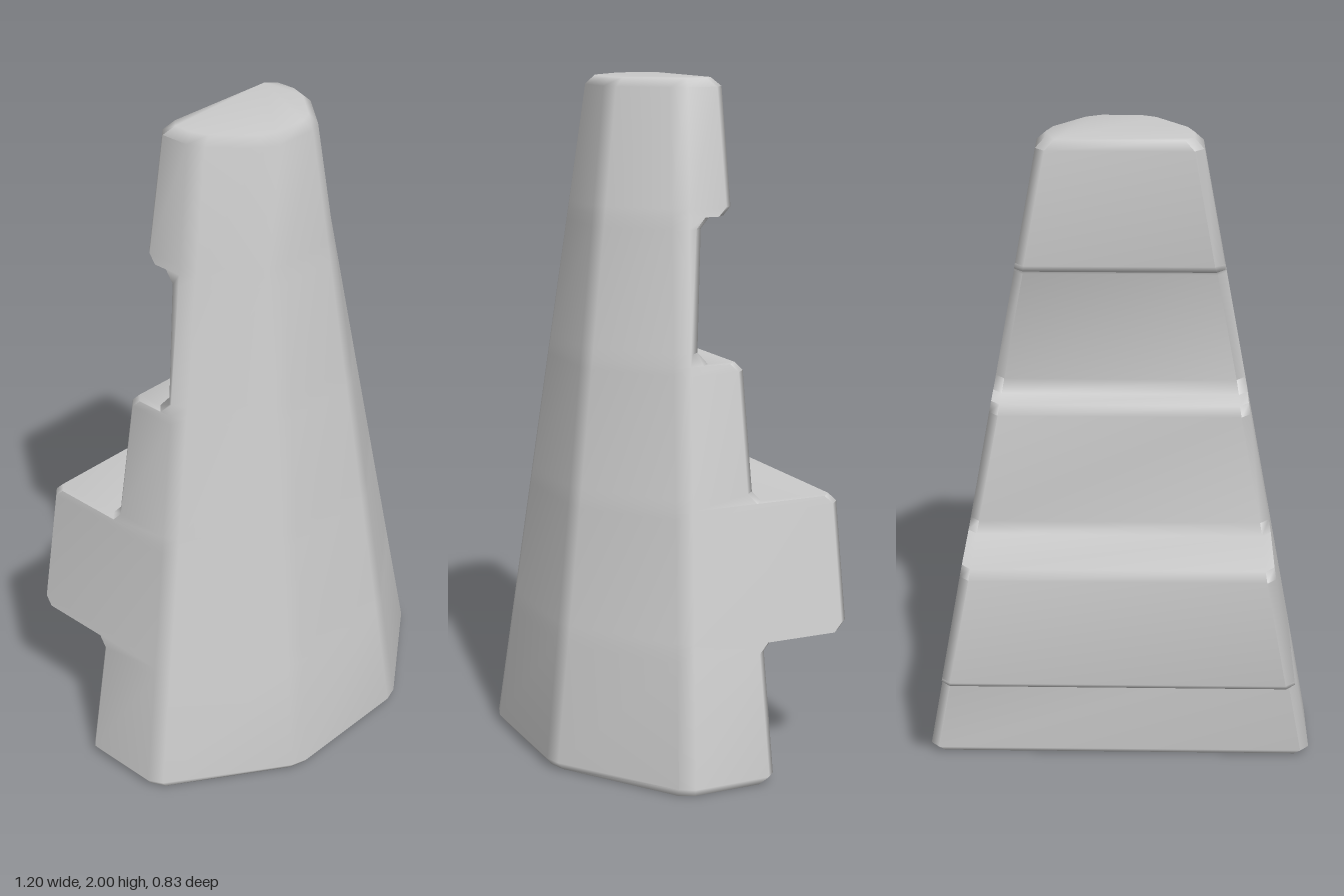
import * as THREE from 'three';

const BEVEL = 0.027;

// Back outline from bottom to top: [height, back z, inset of the whole section]
const LEVELS = [
  [0, -0.14, 0.022], [0.025, -0.14, 0],
  [0.375, -0.14, 0], [0.405, -0.17, 0],                        // under the block
  [0.405, -0.39, 0], [0.43, -0.415, 0],
  [0.775, -0.415, 0], [0.8, -0.39, 0],
  [0.8, -0.167, 0], [0.83, -0.14, 0],                          // above the block
  [1.175, -0.14, 0], [1.2, -0.115, 0],
  [1.2, -0.03, 0], [1.235, 0, 0],                              // notch
  [1.58, -0.04, 0], [1.613, -0.072, 0],
  [1.613, -0.115, 0], [1.638, -0.14, 0],
  [1.975, -0.14, 0], [2, -0.14, 0.022],
];

// Horizontal section: a tapering half octagon with every corner cut
function section([y, back, inset]) {
  const t = y / 2;
  const at = (a, b) => THREE.MathUtils.lerp(a, b, t);
  const w = at(0.603, 0.23) - inset;
  const zb = back + inset;
  const corners = [
    new THREE.Vector3(w, y, zb),
    new THREE.Vector3(w, y, at(0.15, 0.005) - inset * 0.3),
    new THREE.Vector3(at(0.226, 0.092) - inset * 0.4, y, at(0.418, 0.164) - inset),
  ];
  const path = [new THREE.Vector3(0, y, zb), ...corners, new THREE.Vector3(0, y, corners[2].z)];
  const half = [];
  for (let i = 1; i <= 3; i++) {
    for (const next of [path[i - 1], path[i + 1]]) {
      const dir = next.clone().sub(path[i]).normalize();
      half.push(path[i].clone().addScaledVector(dir, BEVEL));
    }
  }
  const mirrored = half.map((p) => new THREE.Vector3(-p.x, p.y, p.z)).reverse();
  return [...half, ...mirrored];
}

// Area-weighted normals: broad faces stay flat and the bevels blend between them
function softBevelGeometry(triangles) {
  const key = (p) => p.toArray().map((v) => Math.round(v * 1e4)).join();
  const around = new Map();
  const faces = [];
  for (const tri of triangles) {
    const n = tri[1].clone().sub(tri[0]).cross(tri[2].clone().sub(tri[0]));
    if (n.length() < 1e-8) continue;
    const face = { tri, n, unit: n.clone().normalize() };
    faces.push(face);
    for (const p of tri) {
      if (!around.has(key(p))) around.set(key(p), []);
      around.get(key(p)).push(face);
    }
  }
  const positions = [];
  const normals = [];
  for (const face of faces) {
    for (const p of face.tri) {
      const n = new THREE.Vector3();
      for (const other of around.get(key(p))) {
        if (other.unit.dot(face.unit) > 0.6) n.add(other.n);
      }
      positions.push(...p.toArray());
      normals.push(...n.normalize().toArray());
    }
  }
  const geometry = new THREE.BufferGeometry();
  geometry.setAttribute('position', new THREE.Float32BufferAttribute(positions, 3));
  geometry.setAttribute('normal', new THREE.Float32BufferAttribute(normals, 3));
  return geometry;
}

export function createModel() {
  const group = new THREE.Group();
  group.name = 'notchedWedge';

  const loops = LEVELS.map(section);
  const count = loops[0].length;
  const triangles = [];

  // Walls, ledges and block between neighbouring sections
  for (let k = 0; k < loops.length - 1; k++) {
    const low = loops[k];
    const high = loops[k + 1];
    for (let i = 0; i < count; i++) {
      const j = (i + 1) % count;
      triangles.push([low[i], high[i], low[j]], [low[j], high[i], high[j]]);
    }
  }

  // Bottom and top caps
  const bottom = loops[0];
  const top = loops[loops.length - 1];
  for (let i = 1; i < count - 1; i++) {
    triangles.push([bottom[0], bottom[i], bottom[i + 1]]);
    triangles.push([top[0], top[i + 1], top[i]]);
  }

  const body = new THREE.Mesh(
    softBevelGeometry(triangles),
    new THREE.MeshStandardMaterial({ color: 0xcccccc }),
  );
  body.name = 'taperedBody';
  group.add(body);
  return group;
}
